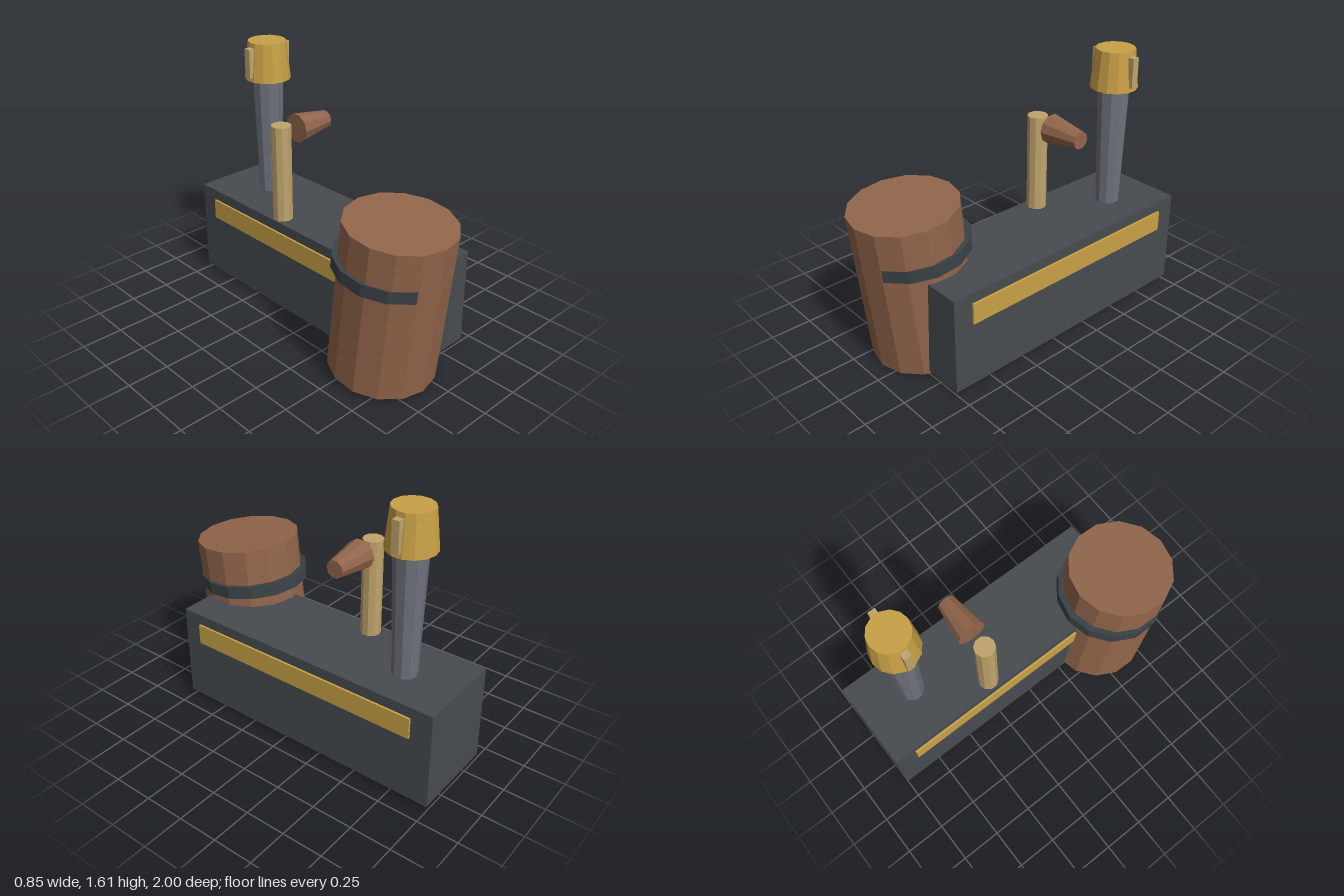
import * as THREE from 'three';

const material = (name, color) => {
  const m = new THREE.MeshStandardMaterial({ color, flatShading: true });
  m.name = name;
  return m;
};

export function createModel() {
  const model = new THREE.Group();
  model.name = 'model';

  const charcoal = material('charcoal', 0x474c50);
  const darkIron = material('dark iron', 0x3a4245);
  const steel = material('steel grey', 0x6e727b);
  const brown = material('brown', 0x92654b);
  const gold = material('gold', 0xc9a146);
  const tan = material('tan', 0xbfa46c);

  const add = (parent, name, geometry, mat, x, y, z) => {
    const mesh = new THREE.Mesh(geometry, mat);
    mesh.name = name;
    mesh.position.set(x, y, z);
    parent.add(mesh);
    return mesh;
  };
  const box = (w, h, d) => new THREE.BoxGeometry(w, h, d);
  const cylinder = (top, bottom, h, sides) => new THREE.CylinderGeometry(top, bottom, h, sides);

  // Long body with a raised strip along each side
  const bodyX = 0.133;
  add(model, 'body', box(0.55, 0.595, 1.76), charcoal, bodyX, 0.333, -0.12);
  for (const side of [-1, 1]) {
    add(model, side < 0 ? 'rightStrip' : 'leftStrip', box(0.02, 0.127, 1.51), gold,
      bodyX + side * 0.278, 0.502, -0.115);
  }

  // Barrel leaning forward, with a band set slightly to the rear
  const barrel = new THREE.Group();
  barrel.name = 'barrel';
  barrel.position.set(-0.1, 0.503, 0.64);
  barrel.rotation.x = 0.105;
  model.add(barrel);
  add(barrel, 'barrelBody', cylinder(0.315, 0.315, 0.938, 14), brown, 0, 0, 0);
  add(barrel, 'barrelBand', cylinder(0.333, 0.333, 0.076, 14), darkIron, 0, 0.213, -0.02);

  // Short post, running down through the body
  add(model, 'post', cylinder(0.061, 0.061, 1.196, 10), tan, -0.075, 0.632, -0.278);

  // Tapered handle lying along x
  const handle = cylinder(0.053, 0.089, 0.235, 10).rotateZ(-Math.PI / 2);
  add(model, 'handle', handle, brown, 0.16, 1.18, -0.278);

  // Chimney that widens upward, with a cap and two lugs
  const chimney = new THREE.Group();
  chimney.name = 'chimney';
  chimney.position.set(0.159, 0, -0.668);
  model.add(chimney);
  add(chimney, 'chimneyPipe', cylinder(0.097, 0.07, 0.86, 10), steel, 0, 0.96, 0);
  add(chimney, 'chimneyCap', cylinder(0.117, 0.142, 0.235, 14), gold, 0, 1.495, 0);
  for (const side of [-1, 1]) {
    add(chimney, side < 0 ? 'rightLug' : 'leftLug', box(0.06, 0.178, 0.045), tan, side * 0.127, 1.495, 0);
  }

  return model;
}
